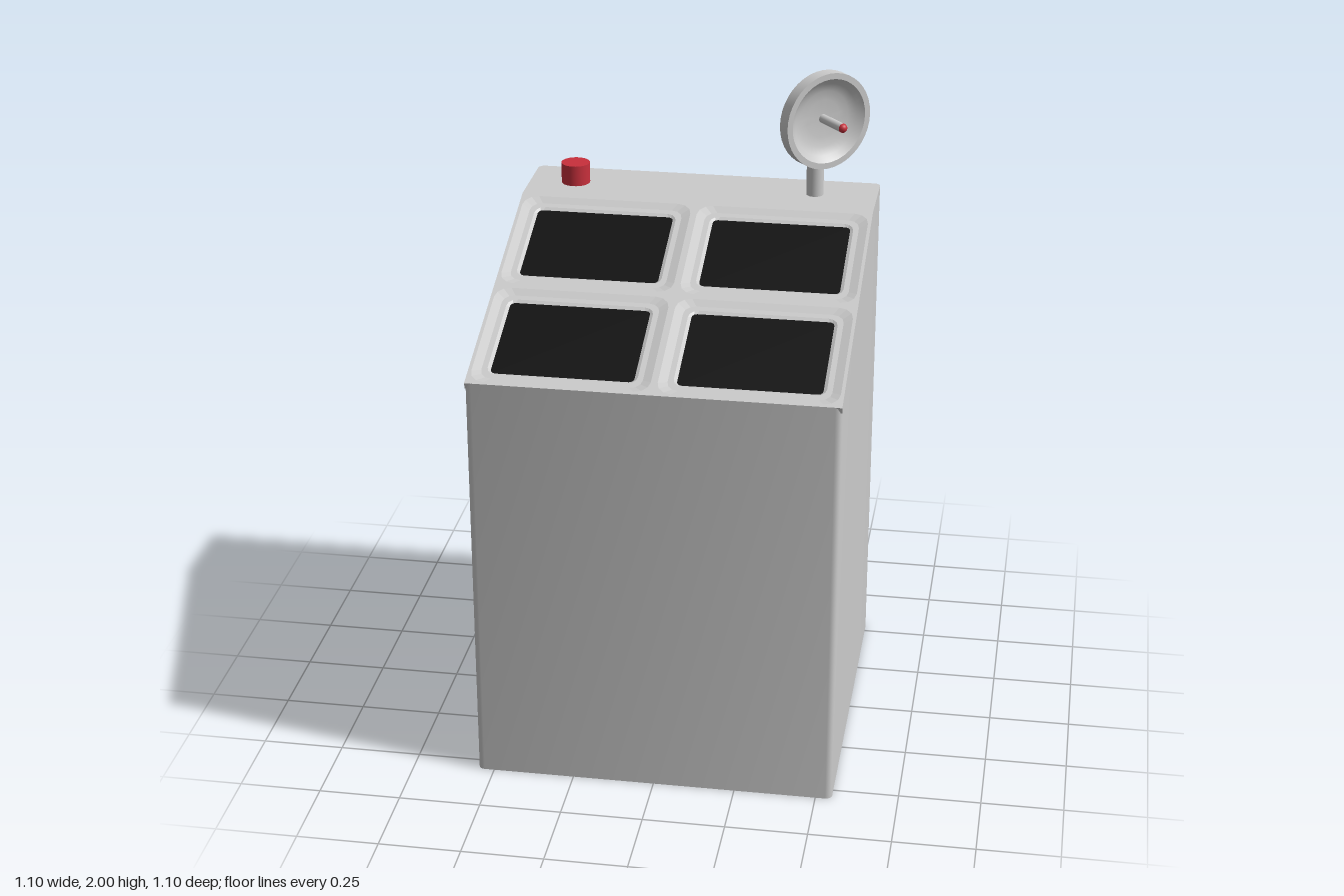
import * as THREE from 'three';
import { toCreasedNormals } from 'three/addons/utils/BufferGeometryUtils.js';

const HALF = 0.55, FRONT_Y = 1.31, TOP_Y = 1.59, KINK_Z = -0.29;
const SLOPE = Math.atan2(TOP_Y - FRONT_Y, HALF - KINK_Z);
const SLOPE_LENGTH = Math.hypot(TOP_Y - FRONT_Y, HALF - KINK_Z);

const grey = new THREE.MeshStandardMaterial({ color: 0xcccccc });
const greyThin = new THREE.MeshStandardMaterial({ color: 0xcccccc, side: THREE.DoubleSide });
const greyFlat = new THREE.MeshStandardMaterial({ color: 0xcccccc, flatShading: true, side: THREE.DoubleSide });
const black = new THREE.MeshStandardMaterial({ color: 0x101010, side: THREE.DoubleSide });
const red = new THREE.MeshStandardMaterial({ color: 0xc8303c });

function add(parent, name, geometry, material, x = 0, y = 0, z = 0) {
  const mesh = new THREE.Mesh(geometry, material);
  mesh.name = name;
  mesh.position.set(x, y, z);
  parent.add(mesh);
  return mesh;
}

// counter-clockwise rounded rectangle, starting at the lower right corner
function roundedRect(w, h, r, segments = 3) {
  const points = [];
  [[1, -1], [1, 1], [-1, 1], [-1, -1]].forEach(([sx, sy], i) => {
    for (let k = 0; k <= segments; k++) {
      const a = (i - 1 + k / segments) * Math.PI / 2;
      points.push(new THREE.Vector2(sx * (w / 2 - r) + r * Math.cos(a), sy * (h / 2 - r) + r * Math.sin(a)));
    }
  });
  return points;
}

// skin between closed loops with equal point counts
function loft(loops) {
  const out = [];
  for (let j = 0; j < loops.length - 1; j++) {
    const A = loops[j], B = loops[j + 1];
    A.forEach((a, i) => {
      const n = (i + 1) % A.length;
      [a, A[n], B[n], a, B[n], B[i]].forEach((p) => out.push(p.x, p.y, p.z));
    });
  }
  const geometry = new THREE.BufferGeometry();
  geometry.setAttribute('position', new THREE.Float32BufferAttribute(out, 3));
  geometry.computeVertexNormals();
  return geometry;
}

function createBody(group) {
  // walls rise from the rounded footprint to the sloping roof line
  const footprint = roundedRect(2 * HALF, 2 * HALF, 0.02, 4);
  const outline = [...footprint];
  outline.splice(15, 0, new THREE.Vector2(-HALF, -KINK_Z));
  outline.splice(5, 0, new THREE.Vector2(HALF, -KINK_Z));
  const roof = (z) => Math.min(TOP_Y, FRONT_Y + (HALF - z) * Math.tan(SLOPE));
  const bottom = outline.map((p) => new THREE.Vector3(p.x, 0, -p.y));
  const top = bottom.map((p) => new THREE.Vector3(p.x, roof(p.z), p.z));
  add(group, 'cabinetWalls', toCreasedNormals(loft([bottom, top]), 0.6), grey);

  add(group, 'cabinetBase', new THREE.ShapeGeometry(new THREE.Shape(footprint)).rotateX(Math.PI / 2), grey);

  // flat rear deck with rounded back corners
  const back = footprint.filter((p) => p.y > 0);
  const deck = new THREE.Shape([new THREE.Vector2(HALF, -KINK_Z), ...back, new THREE.Vector2(-HALF, -KINK_Z)]);
  add(group, 'rearDeck', new THREE.ShapeGeometry(deck).rotateX(-Math.PI / 2), greyThin, 0, TOP_Y, 0);
}

function createConsole() {
  // local x across, y up the slope, z out of the panel
  const panel = new THREE.Group();
  panel.name = 'slopedConsole';
  panel.position.set(0, FRONT_Y, HALF);
  panel.rotation.x = SLOPE - Math.PI / 2;

  const plate = new THREE.Shape([
    new THREE.Vector2(-HALF, 0), new THREE.Vector2(HALF, 0),
    new THREE.Vector2(HALF, SLOPE_LENGTH), new THREE.Vector2(-HALF, SLOPE_LENGTH),
  ]);
  // width, height, corner radius, depth of each step of a screen recess
  const steps = [
    [0.53, 0.421, 0.045, 0],
    [0.478, 0.372, 0.035, -0.008],
    [0.445, 0.336, 0.03, -0.008],
    [0.425, 0.315, 0.015, -0.013],
  ];
  const loops = steps.map(([w, h, r, d]) => roundedRect(w, h, r).map((p) => new THREE.Vector3(p.x, p.y, d)));
  const frame = loft(loops);
  const screen = new THREE.ShapeGeometry(new THREE.Shape(roundedRect(0.425, 0.315, 0.015)));
  for (const x of [-0.275, 0.275]) {
    for (const y of [0.221, 0.664]) {
      const hole = loops[0].map((p) => new THREE.Vector2(p.x + x, p.y + y));
      plate.holes.push(new THREE.Path(hole));
      add(panel, 'screenFrame', frame, greyFlat, x, y, 0);
      add(panel, 'screen', screen, black, x, y, -0.013);
    }
  }
  add(panel, 'consolePlate', new THREE.ShapeGeometry(plate), greyThin);
  // square front lip overhanging the rounded cabinet corners
  add(panel, 'frontLip', new THREE.BoxGeometry(2 * HALF, 0.008, 0.02), grey, 0, 0.004, -0.0105);
  return panel;
}

function createDish() {
  // lathe axis becomes +z, the direction the dish faces
  const dish = new THREE.Group();
  dish.name = 'dishAntenna';
  dish.position.set(0.386, 1.847, -0.39);
  dish.rotation.y = Math.atan2(0.648, 0.762);

  const profile = [
    [0, -0.021], [0.153, -0.021], [0.153, 0.021], [0.134, 0.021],
    [0.115, 0.004], [0.09, -0.007], [0.06, -0.012], [0, -0.014],
  ].map(([r, y]) => new THREE.Vector2(r, y));
  const bowl = new THREE.LatheGeometry(profile, 40).rotateX(Math.PI / 2);
  add(dish, 'dishBowl', toCreasedNormals(bowl, 0.55), greyThin);

  const rod = new THREE.CylinderGeometry(0.014, 0.014, 0.11, 16).rotateX(Math.PI / 2);
  add(dish, 'feedRod', rod, grey, 0, 0, 0.04);
  const tip = new THREE.SphereGeometry(0.0145, 16, 8, 0, Math.PI * 2, 0, Math.PI / 2).rotateX(Math.PI / 2);
  add(dish, 'feedTip', tip, red, 0, 0, 0.094);
  return dish;
}

export function createModel() {
  const group = new THREE.Group();
  group.name = 'controlConsole';
  createBody(group);
  group.add(createConsole());

  // rear deck fittings
  add(group, 'redButton', new THREE.CylinderGeometry(0.045, 0.045, 0.065, 32), red, -0.405, TOP_Y + 0.0325, -0.42);
  add(group, 'dishPost', new THREE.CylinderGeometry(0.027, 0.027, 0.27, 24), grey, 0.355, TOP_Y + 0.135, -0.425);
  group.add(createDish());
  return group;
}
